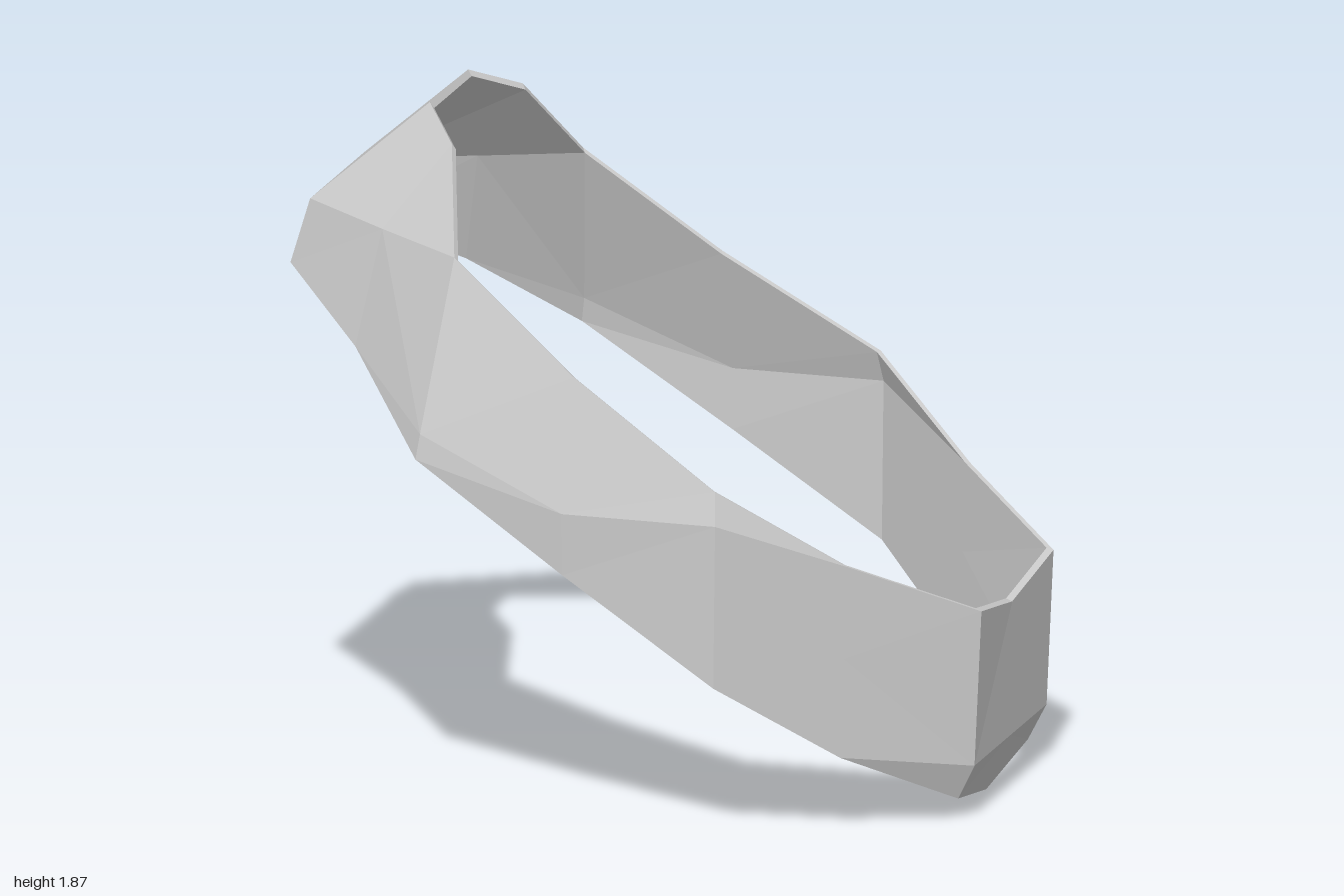
import * as THREE from 'three';

// Half of the band, from the low end (+x) round to the high end (-x).
// Each station lists its outer top, crease and bottom points.
const STATIONS = [
  [[0.985, 0.54, 0], [0.98, 0.16, 0], [0.91, 0, 0]],
  [[1.0, 0.6, 0.33], [0.98, 0.16, 0.33], [0.93, 0.06, 0.32]],
  [[0.69, 0.76, 0.56], [0.68, 0.5, 0.565], [0.67, 0.22, 0.57]],
  [[0.37, 1.0, 0.76], [0.38, 0.91, 0.79], [0.375, 0.45, 0.79]],
  [[-0.06, 1.27, 0.68], [-0.06, 0.91, 0.79], [-0.06, 0.735, 0.785]],
  [[-0.43, 1.555, 0.59], [-0.48, 1.09, 0.745], [-0.49, 1.02, 0.755]],
  [[-0.52, 1.8, 0.325], [-0.69, 1.57, 0.42], [-0.745, 1.25, 0.49]],
  [[-0.63, 1.87, 0.175], [-0.95, 1.59, 0.25], [-1.0, 1.41, 0.27]],
  [[-0.63, 1.87, 0], [-0.95, 1.59, 0], [-0.985, 1.47, 0]],
];
const CENTRE = new THREE.Vector3(0, 0.93, 0);
const WALL = 0.018; // inner skin, as a fraction of the way to the centre

// Closed cross-section: down the outside, back up the inside
function section(points) {
  const outer = points.map((p) => new THREE.Vector3(...p));
  const inner = outer.map((p) => p.clone().lerp(CENTRE, WALL)).reverse();
  // the inner wall keeps to the mirror plane at both ends
  return [...outer, ...inner];
}

function bandGeometry() {
  const positions = [];
  // Adds a triangle and its mirror image in z
  const triangle = (a, b, c) => {
    for (const p of [a, b, c]) positions.push(p.x, p.y, p.z);
    for (const p of [a, c, b]) positions.push(p.x, p.y, -p.z);
  };
  const rings = STATIONS.map(section);
  for (let i = 0; i < rings.length - 1; i++) {
    const count = rings[i].length;
    for (let j = 0; j < count; j++) {
      const k = (j + 1) % count;
      const a = rings[i][j], b = rings[i][k];
      const c = rings[i + 1][k], d = rings[i + 1][j];
      // inner skin runs upwards, so its diagonal is swapped to match the outside
      if (j < 3) {
        triangle(a, d, c);
        triangle(a, c, b);
      } else {
        triangle(a, d, b);
        triangle(d, c, b);
      }
    }
  }
  const geometry = new THREE.BufferGeometry();
  geometry.setAttribute('position', new THREE.Float32BufferAttribute(positions, 3));
  geometry.computeVertexNormals();
  return geometry;
}

export function createModel() {
  const group = new THREE.Group();
  group.name = 'facetedRing';
  const band = new THREE.Mesh(
    bandGeometry(),
    new THREE.MeshStandardMaterial({ color: 0xcccccc, flatShading: true })
  );
  band.name = 'band';
  group.add(band);
  return group;
}
